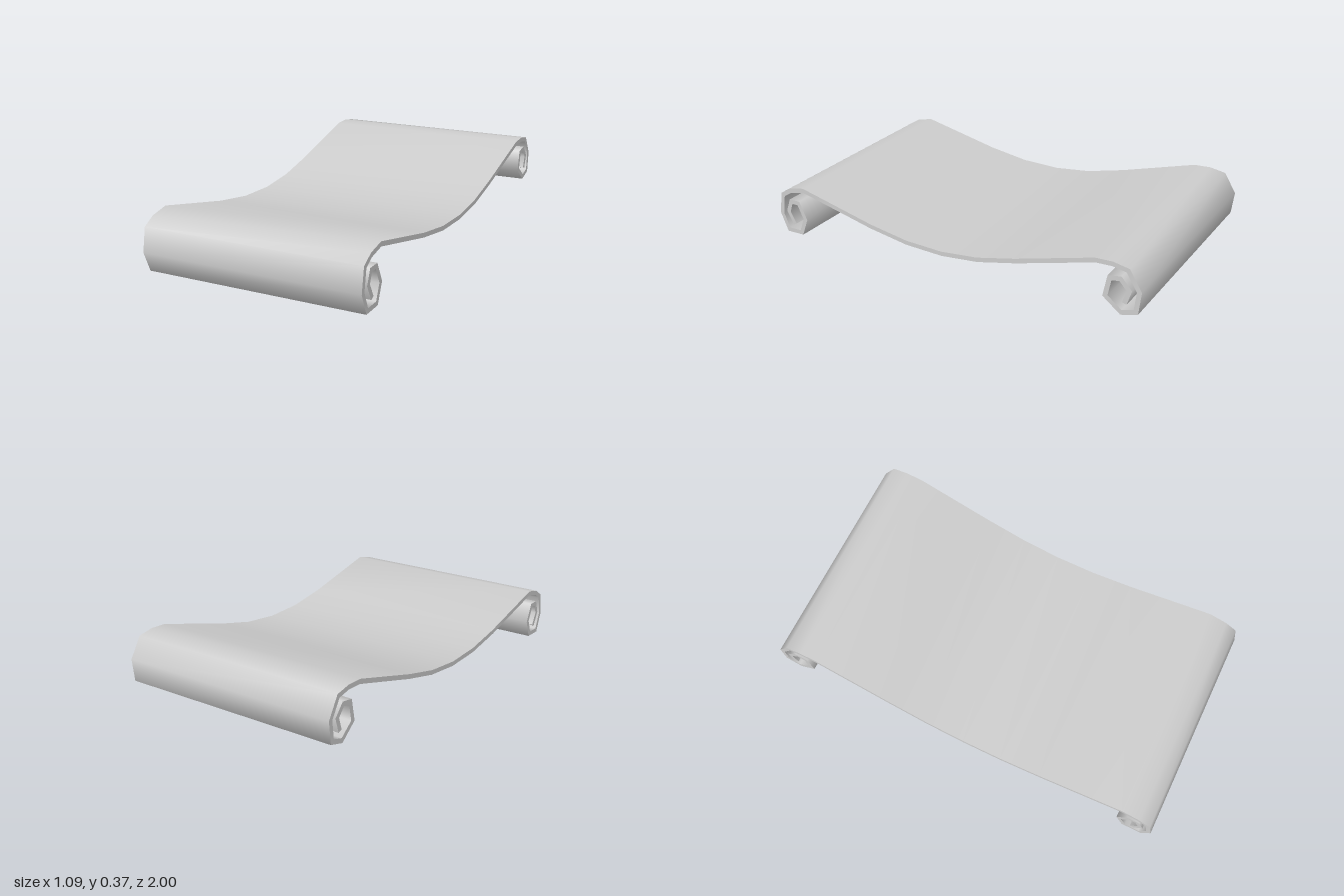
import * as THREE from 'three';
import { toCreasedNormals } from 'three/addons/utils/BufferGeometryUtils.js';

const WIDTH = 1.09;
const THICKNESS = 0.022;

// Centreline of the sheet as [z, y], from the inner end of one curl to the other
const frontCurl = [
  [0.905, 0.055], [0.94, 0.12], [0.918, 0.178], [0.87, 0.18], [0.832, 0.1], [0.865, 0.018],
  [0.95, 0.013], [0.986, 0.1], [0.968, 0.206], [0.915, 0.24], [0.83, 0.261],
];
const sag = [[0.41, 0.178], [0.2, 0.151], [0, 0.151], [-0.195, 0.178], [-0.395, 0.232]];
const backCurl = [
  [-0.78, 0.354], [-0.86, 0.36], [-0.932, 0.349], [-0.987, 0.262], [-0.977, 0.164],
  [-0.91, 0.142], [-0.833, 0.2], [-0.85, 0.291], [-0.9, 0.301], [-0.942, 0.255], [-0.923, 0.19],
];

// Offsets a polyline sideways with mitred corners
function offsetLine(points, distance) {
  return points.map((p, i) => {
    const before = points[Math.max(i - 1, 0)];
    const after = points[Math.min(i + 1, points.length - 1)];
    const a = (i > 0 ? p.clone().sub(before) : after.clone().sub(p)).normalize();
    const b = (i < points.length - 1 ? after.clone().sub(p) : a.clone()).normalize();
    const normal = new THREE.Vector2(-a.y - b.y, a.x + b.x).normalize();
    const miter = distance / (normal.x * -a.y + normal.y * a.x);
    return p.clone().addScaledVector(normal, miter);
  });
}

export function createModel() {
  const group = new THREE.Group();
  group.name = 'scroll';

  // Thin band around the centreline, extruded across the width
  const line = [...frontCurl, ...sag, ...backCurl].map(([z, y]) => new THREE.Vector2(z, y));
  const outline = [
    ...offsetLine(line, THICKNESS / 2),
    ...offsetLine(line, -THICKNESS / 2).reverse(),
  ];
  const geometry = new THREE.ExtrudeGeometry(new THREE.Shape(outline), {
    depth: WIDTH, bevelEnabled: false,
  });
  geometry.translate(0, 0, -WIDTH / 2);
  geometry.rotateY(-Math.PI / 2);

  // Smooth along the curls, sharp at the rims
  const sheet = new THREE.Mesh(
    toCreasedNormals(geometry, 1.35),
    new THREE.MeshStandardMaterial({ color: 0xcccccc }),
  );
  sheet.name = 'curledSheet';
  group.add(sheet);
  return group;
}
